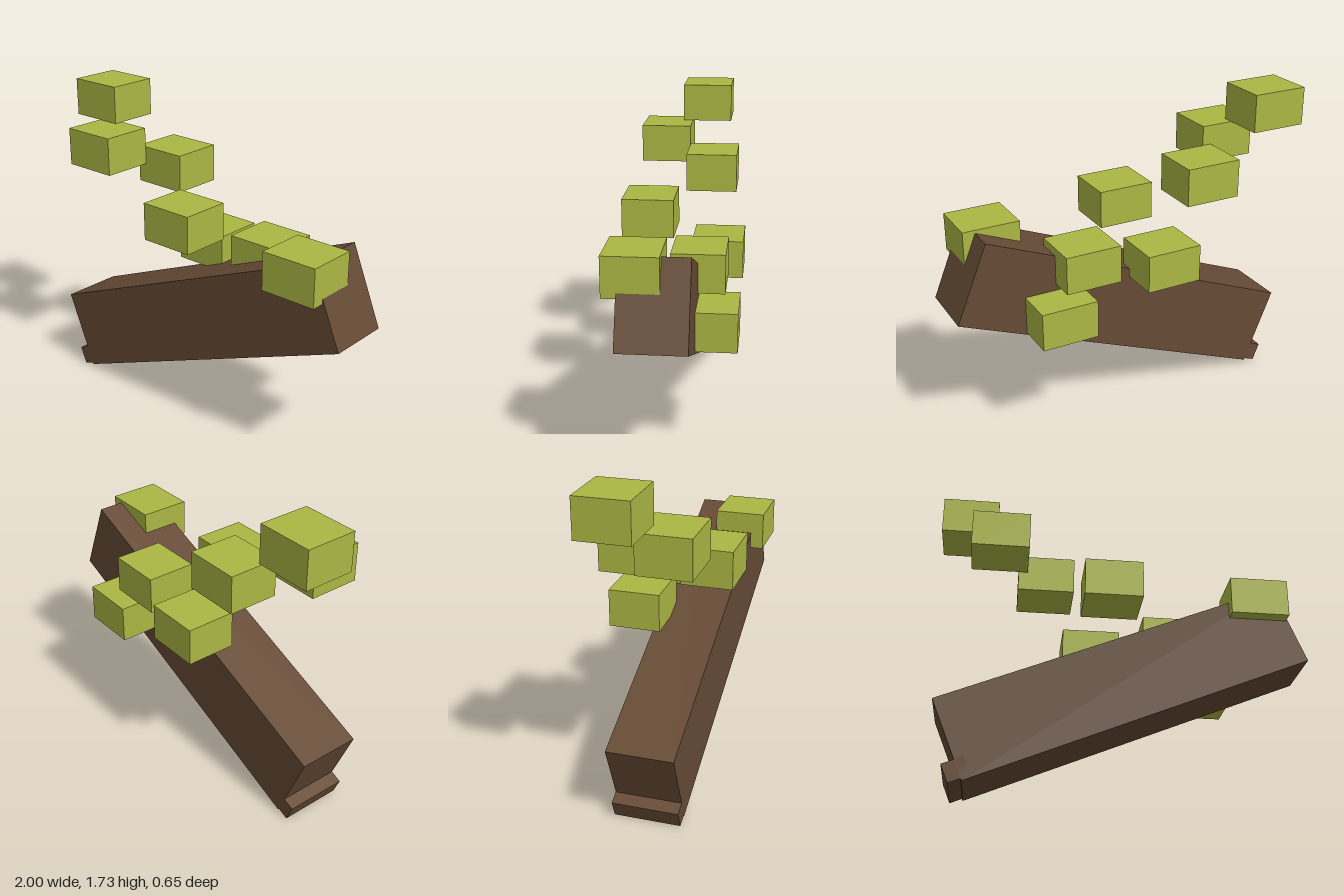
import * as THREE from 'three';

export function createModel() {
  const bark = new THREE.MeshStandardMaterial({ color: 0x664b35 });
  bark.name = 'bark brown';
  const leaf = new THREE.MeshStandardMaterial({ color: 0xacb743 });
  leaf.name = 'leaf green';

  const model = new THREE.Group();
  model.name = 'fallenTrunkWithLeaves';

  const addBox = (parent, name, material, size, position) => {
    const mesh = new THREE.Mesh(new THREE.BoxGeometry(...size), material);
    mesh.name = name;
    mesh.position.set(...position);
    parent.add(mesh);
  };

  // Leaning trunk with a small stub at its lower end
  const trunk = new THREE.Group();
  trunk.name = 'leaningTrunk';
  trunk.position.set(0.019, 0.599, 0.06);
  trunk.rotation.z = THREE.MathUtils.degToRad(22.35);
  addBox(trunk, 'trunk', bark, [1.935, 0.456, 0.35], [0, 0, 0]);
  addBox(trunk, 'trunkStub', bark, [0.12, 0.103, 0.35], [-0.975, -0.165, 0]);
  model.add(trunk);

  // Floating leaf blocks, all one size, placed by their centres
  const leafCentres = [
    [-0.843, 1.635, -0.08],
    [-0.665, 1.425, 0.145],
    [-0.403, 1.317, -0.135],
    [-0.053, 1.145, 0.183],
    [-0.142, 0.898, -0.188],
    [0.298, 0.965, -0.115],
    [0.738, 1.09, 0.167],
    [0.473, 0.72, -0.188],
  ];
  leafCentres.forEach((centre, i) =>
    addBox(model, `leafBlock${i + 1}`, leaf, [0.313, 0.208, 0.28], centre));

  return model;
}
